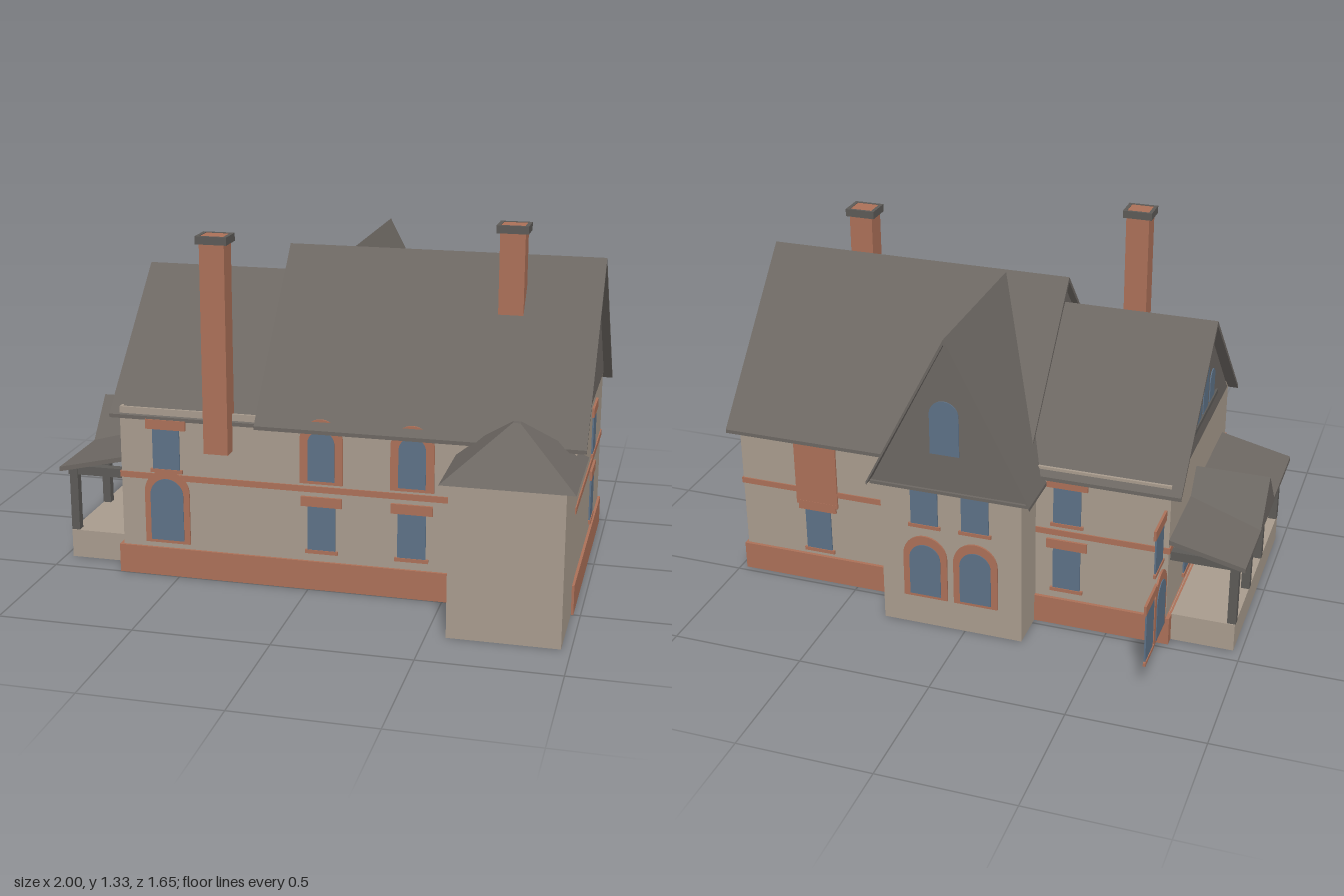
import * as THREE from 'three';

const mat = (name, color) => {
  const m = new THREE.MeshStandardMaterial({ color });
  m.name = name;
  return m;
};

export function createModel() {
  const house = new THREE.Group();
  house.name = 'house';
  const stone = mat('stone', 0xa89b8d);
  const brick = mat('brick', 0xab7058);
  const slate = mat('slate', 0x6c6762);
  const glass = mat('glass', 0x5d7186);
  const iron = mat('dark trim', 0x5c5a57);

  const add = (name, geometry, material, parent = house) => {
    const m = new THREE.Mesh(geometry, material);
    m.name = name;
    parent.add(m);
    return m;
  };
  // box given by its limits
  const block = (name, x0, x1, y0, y1, z0, z1, material, parent) => {
    const g = new THREE.BoxGeometry(x1 - x0, y1 - y0, z1 - z0);
    g.translate((x0 + x1) / 2, (y0 + y1) / 2, (z0 + z1) / 2);
    return add(name, g, material, parent);
  };
  const extrude = (shape, depth) =>
    new THREE.ExtrudeGeometry(shape, { depth, bevelEnabled: false, curveSegments: 10 });
  const poly = pts => new THREE.Shape(pts.map(p => new THREE.Vector2(p[0], p[1])));
  // four thin walls, open at top and bottom
  const ring = (name, x0, x1, z0, z1, y0, y1, t, material) => {
    const rect = i => [[x0 + i, -z1 + i], [x1 - i, -z1 + i], [x1 - i, -z0 - i], [x0 + i, -z0 - i]];
    const s = poly(rect(0));
    s.holes.push(poly(rect(t).reverse()));
    const g = extrude(s, y1 - y0);
    g.rotateX(-Math.PI / 2).translate(0, y0, 0);
    return add(name, g, material);
  };
  // profile [z, y] swept along x
  const sweepX = (name, pts, x0, x1, material) => {
    const g = extrude(poly(pts.map(([z, y]) => [-z, y])), x1 - x0);
    g.rotateY(Math.PI / 2).translate(x0, 0, 0);
    return add(name, g, material);
  };
  // profile [x, y] swept along z
  const sweepZ = (name, pts, z0, z1, material) =>
    add(name, extrude(poly(pts), z1 - z0).translate(0, 0, z0), material);
  const roofProfile = (c, half, eave, ridge, t = 0.014) => [
    [c - half, eave], [c, ridge], [c + half, eave],
    [c + half, eave - t], [c, ridge - t * 1.4], [c - half, eave - t]];

  // walls, plinth and string course
  ring('mainWalls', -0.72, 0.965, -0.465, 0.49, 0, 0.65, 0.01, stone);
  ring('plinth', -0.735, 0.975, -0.478, 0.5, 0, 0.11, 0.014, brick);
  ring('stringCourse', -0.725, 0.97, -0.47, 0.495, 0.377, 0.4, 0.008, brick);
  ring('rearWingWalls', -0.22, 0.32, -0.63, -0.455, 0, 0.6, 0.01, stone);
  ring('cornerTowerWalls', 0.57, 0.966, 0.43, 0.8, 0, 0.56, 0.01, stone);

  // main roofs with their gable ends
  sweepX('mainRoof', roofProfile(0.005, 0.515, 0.62, 1.195), -0.195, 1, slate);
  sweepX('lowerRoof', roofProfile(0.005, 0.49, 0.62, 1.095), -0.76, -0.18, slate);
  const mainGable = [[-0.47, 0.64], [0.49, 0.64], [0.005, 1.18]];
  sweepX('rightGable', mainGable, 0.955, 0.968, slate);
  sweepX('middleGable', mainGable, -0.17, -0.16, slate);
  sweepX('leftGable', [[-0.455, 0.62], [0.465, 0.62], [0.005, 1.08]], -0.722, -0.71, slate);

  // rear wing roof
  sweepZ('rearWingRoof', roofProfile(0.05, 0.31, 0.588, 1.188), -0.665, 0, slate);
  sweepZ('rearGable', [[-0.25, 0.585], [0.35, 0.585], [0.05, 1.17]], -0.645, -0.635, slate);
  block('rearSoffit', -0.25, 0.35, 0.578, 0.59, -0.655, -0.48, slate);

  // corner tower roof
  let hip = new THREE.CylinderGeometry(0.04, Math.SQRT1_2, 0.175, 4, 1);
  hip.rotateY(Math.PI / 4).scale(0.46, 1, 0.42);
  hip = hip.toNonIndexed();
  hip.computeVertexNormals();
  add('cornerTowerRoof', hip, slate).position.set(0.77, 0.6475, 0.617);

  // chimneys with caps
  const chimney = (x, z, y0, y1) => {
    const g = new THREE.Group();
    g.name = 'chimney';
    house.add(g);
    block('stack', x - 0.046, x + 0.046, y0, y1, z - 0.041, z + 0.041, brick, g);
    for (const s of [-1, 1]) {
      const a = x + s * 0.044, b = x + s * 0.058, c = z + s * 0.039, d = z + s * 0.05;
      block('capSide', Math.min(a, b), Math.max(a, b), y1 - 0.027, y1 + 0.002, z - 0.05, z + 0.05, iron, g);
      block('capEnd', x - 0.058, x + 0.058, y1 - 0.027, y1 + 0.002, Math.min(c, d), Math.max(c, d), iron, g);
    }
  };
  chimney(-0.331, 0.508, 0.51, 1.31);
  chimney(0.677, 0.137, 0.94, 1.328);

  // side porch
  block('porchBase', -0.97, -0.735, 0.095, 0.11, -0.44, 0.4, stone);
  ring('porchBaseWalls', -0.97, -0.725, -0.44, 0.4, 0, 0.11, 0.01, stone);
  sweepZ('porchRoof', [[-1, 0.352], [-1, 0.37], [-0.72, 0.435], [-0.72, 0.417]], -0.47, 0.425, slate);
  sweepX('porchPediment', [[-0.19, 0.365], [0.08, 0.365], [-0.055, 0.525]], -1, -0.72, slate);
  block('porchBeam', -0.975, -0.94, 0.335, 0.365, -0.44, 0.4, iron);
  for (const z of [-0.42, 0.38]) block('porchEndBeam', -0.975, -0.72, 0.335, 0.37, z - 0.017, z + 0.017, iron);
  for (const z of [-0.42, -0.17, 0.06, 0.38])
    block('porchColumn', -0.972, -0.94, 0.11, 0.34, z - 0.016, z + 0.016, iron);

  // windows, drawn facing +z and then turned to their wall
  const place = (name, side, along, y) => {
    const g = new THREE.Group();
    g.name = name;
    const spots = {
      front: [along, 0.49, 0], back: [along, -0.465, Math.PI],
      wing: [along, -0.63, Math.PI], wingGable: [along, -0.645, Math.PI],
      right: [0.966, along, Math.PI / 2], left: [-0.722, along, -Math.PI / 2] };
    const [x, z, turn] = spots[side];
    g.position.set(x, y, z);
    g.rotation.y = turn;
    house.add(g);
    return g;
  };
  const squareWindow = (side, along, y, h) => {
    const g = place('squareWindow', side, along, y);
    block('pane', -0.052, 0.052, 0, h, 0, 0.006, glass, g);
    block('lintel', -0.077, 0.077, h, h + 0.037, 0, 0.009, brick, g);
    block('sill', -0.062, 0.062, -0.014, 0, 0, 0.009, brick, g);
  };
  const archShape = (w, h) => {
    const s = new THREE.Shape();
    s.moveTo(-w, 0);
    s.lineTo(w, 0);
    s.lineTo(w, h - w);
    s.absarc(0, h - w, w, 0, Math.PI, false);
    s.lineTo(-w, 0);
    return s;
  };
  const archWindow = (side, along, y, w, h, border, foot = 0.012) => {
    const g = place('archWindow', side, along, y);
    if (border) add('surround', extrude(archShape(w, h), 0.007), brick, g);
    const pane = extrude(archShape(w - border, h - border * 1.4 - (border ? foot : 0)), 0.004);
    add('pane', pane, glass, g).position.set(0, border ? foot : 0, border ? 0.006 : 0);
  };

  // front
  archWindow('front', -0.542, 0.13, 0.087, 0.285, 0.023);
  squareWindow('front', -0.542, 0.42, 0.153);
  for (const x of [0.05, 0.385]) {
    archWindow('front', x, 0.41, 0.08, 0.245, 0.03);
    squareWindow('front', x, 0.155, 0.168);
  }
  // right end
  squareWindow('right', -0.112, 0.155, 0.168);
  squareWindow('right', -0.112, 0.423, 0.15);
  // rear wing
  for (const x of [-0.045, 0.15]) {
    archWindow('wing', x, 0.12, 0.085, 0.26, 0.025);
    squareWindow('wing', x, 0.43, 0.145);
  }
  archWindow('wingGable', 0.06, 0.735, 0.055, 0.21, 0);
  // back wall
  squareWindow('back', -0.34, 0.155, 0.168);
  squareWindow('back', -0.34, 0.43, 0.145);
  squareWindow('back', 0.655, 0.14, 0.168);
  block('brickPanel', 0.57, 0.74, 0.33, 0.63, -0.473, -0.464, brick);
  // left end, running on past the corner
  archWindow('left', -0.6, 0.12, 0.085, 0.26, 0.025);
  squareWindow('left', -0.645, 0.43, 0.145);
  squareWindow('left', -0.747, 0.135, 0.203);
  squareWindow('left', -0.17, 0.155, 0.168);
  squareWindow('left', 0.2, 0.155, 0.168);
  for (const i of [-1, 0, 1]) archWindow('left', 0.03 + i * 0.11, 0.72, 0.04, i ? 0.12 : 0.18, 0);
  block('gableSill', -0.73, -0.721, 0.7, 0.718, -0.17, 0.23, iron);

  return house;
}
